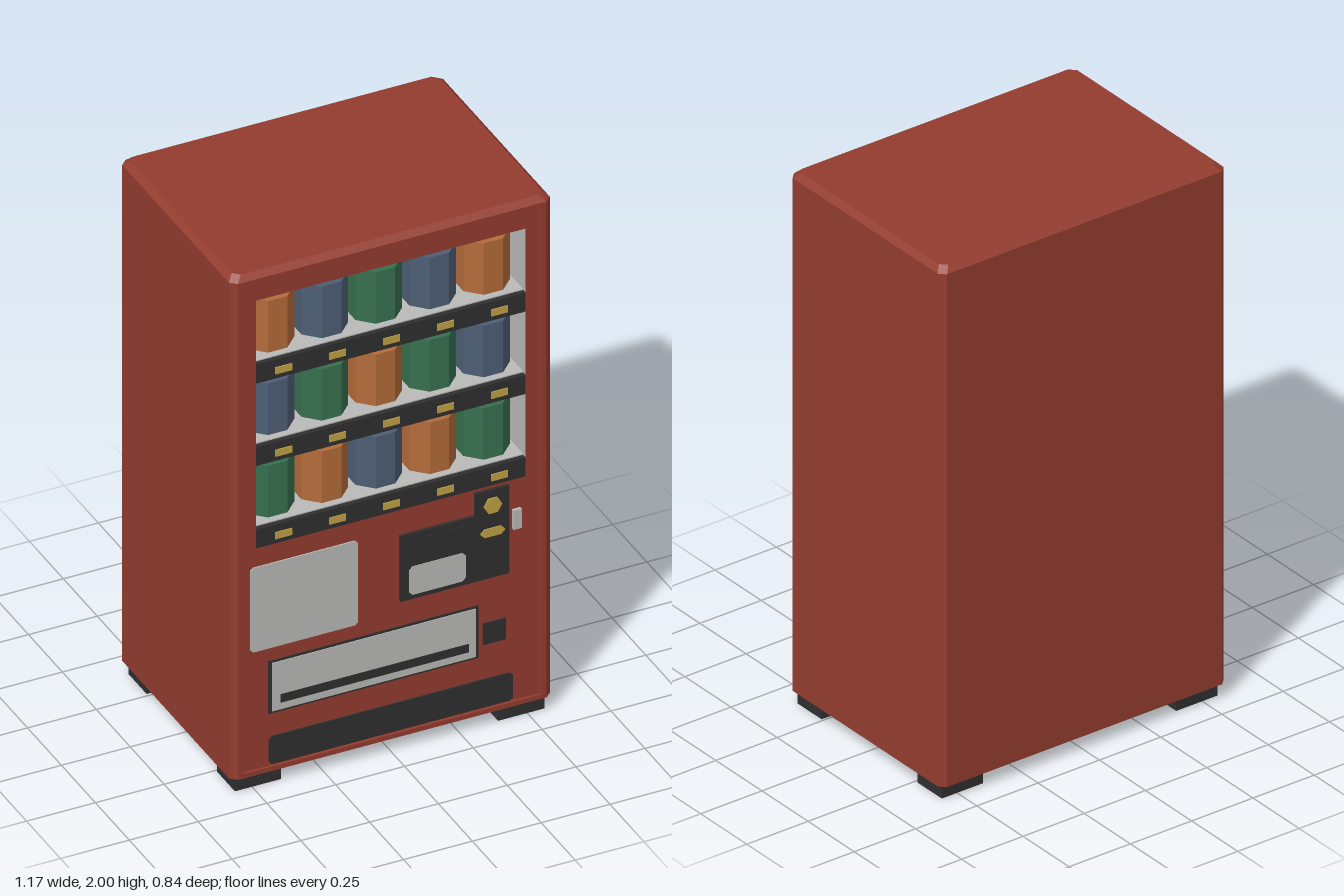
import * as THREE from 'three';

const mat = (name, color, side = THREE.FrontSide) =>
  Object.assign(new THREE.MeshStandardMaterial({ color, side }), { name });

export function createModel() {
  const red = mat('cabinetRed', 0x943c2f, THREE.DoubleSide);
  const dark = mat('charcoal', 0x2f2f2f);
  const grey = mat('lightGrey', 0xb9b9b7);
  const gold = mat('gold', 0xc0a045);
  const orange = mat('orange', 0xb46b39);
  const blue = mat('slateBlue', 0x4e5e75);
  const green = mat('green', 0x36704f);

  const model = new THREE.Group();
  model.name = 'vendingMachine';
  const add = (name, geometry, material, x = 0, y = 0, z = 0) => {
    const mesh = new THREE.Mesh(geometry, material);
    mesh.name = name;
    mesh.position.set(x, y, z);
    model.add(mesh);
    return mesh;
  };
  // Box given by its limits
  const box = (name, m, x0, x1, y0, y1, z0, z1) =>
    add(name, new THREE.BoxGeometry(x1 - x0, y1 - y0, z1 - z0), m,
      (x0 + x1) / 2, (y0 + y1) / 2, (z0 + z1) / 2);
  // Rectangle outline with optionally cut corners
  const rect = (x0, x1, y0, y1, c = 0, Type = THREE.Shape) => {
    const p = c
      ? [[x0 + c, y0], [x1 - c, y0], [x1, y0 + c], [x1, y1 - c],
        [x1 - c, y1], [x0 + c, y1], [x0, y1 - c], [x0, y0 + c]]
      : [[x0, y0], [x1, y0], [x1, y1], [x0, y1]];
    return new Type(p.map(([x, y]) => new THREE.Vector2(x, y)));
  };
  const plate = (name, m, shape, z0, z1) =>
    add(name, new THREE.ExtrudeGeometry(shape, { depth: z1 - z0, bevelEnabled: false }), m, 0, 0, z0);

  // Cabinet shell: chamfered footprint, chamfered top, open front
  const W = 0.583, ZF = 0.41, ZB = -0.42, C = 0.022, Y0 = 0.055, Y1 = 1.98;
  const ring = (y, inset) => {
    const x = W - inset, f = ZF - inset, b = ZB + inset;
    return [[x - C, f], [x, f - C], [x, b + C], [x - C, b],
      [C - x, b], [-x, b + C], [-x, f - C], [C - x, f]].map(([px, pz]) => [px, y, pz]);
  };
  const base = ring(Y0, 0), shoulder = ring(Y1, 0), top = ring(2, 0.02);
  const pos = [];
  const quad = (a, b, c, d) => pos.push(...a, ...b, ...c, ...a, ...c, ...d);
  for (let i = 0; i < 8; i++) {
    const j = (i + 1) % 8;
    if (i < 7) quad(base[i], base[j], shoulder[j], shoulder[i]);
    quad(shoulder[i], shoulder[j], top[j], top[i]);
    if (i > 0 && i < 7) {
      pos.push(...top[0], ...top[i], ...top[j]);
      pos.push(...base[0], ...base[j], ...base[i]);
    }
  }
  const shell = new THREE.BufferGeometry();
  shell.setAttribute('position', new THREE.Float32BufferAttribute(pos, 3));
  shell.computeVertexNormals();
  add('cabinetShell', shell, red);

  // Front rim around the slightly recessed door
  const rim = rect(C - W, W - C, Y0, Y1);
  rim.holes.push(rect(-0.54, 0.54, 0.072, 1.96, 0, THREE.Path));
  plate('frontRim', red, rim, 0.399, ZF);

  const L = -0.49, R = 0.488, B = 0.93, T = 1.89, D = 0.4, BACK = 0.17;
  const door = rect(-0.54, 0.54, 0.072, 1.96);
  door.holes.push(rect(L, R, B, T, 0, THREE.Path));
  add('door', new THREE.ShapeGeometry(door), red, 0, 0, D);

  // Display compartment
  box('displayBack', dark, L, R, B, T, BACK - 0.01, BACK);
  box('displayLeftWall', grey, R, R + 0.01, B, T, BACK, D - 0.002);
  box('displayRightWall', grey, L - 0.01, L, B, T, BACK, D - 0.002);
  box('displayCeiling', grey, L, R, T, T + 0.01, BACK, D - 0.002);

  // Shelves with octagonal goods and price tags
  const rows = [
    [orange, blue, green, blue, orange],
    [blue, green, orange, green, blue],
    [green, orange, blue, orange, green],
  ];
  const canGeo = new THREE.CylinderGeometry(0.092, 0.092, 0.2, 8, 1, false, Math.PI / 8).toNonIndexed();
  canGeo.computeVertexNormals();
  const tagGeo = new THREE.BoxGeometry(0.06, 0.026, 0.006);
  rows.forEach((row, r) => {
    const y = 1.647 - r * 0.32;
    box('shelf', grey, L, R, y - 0.02, y, BACK, 0.385);
    box('shelfLip', dark, L, R, y - 0.077, y - 0.004, 0.38, 0.403);
    row.forEach((m, i) => {
      const x = (i - 2) * 0.196;
      add('can', canGeo, m, x, y + 0.1, 0.275);
      add('priceTag', tagGeo, gold, x, y - 0.046, 0.404);
    });
  });

  // Notice plate
  plate('noticePlate', grey, rect(-0.512, -0.122, 0.53, 0.857, 0.01), D, 0.405);

  // Payment panel with stepped outline
  const panel = new THREE.Shape([[0.03, 0.578], [0.425, 0.578], [0.425, 0.918],
    [0.302, 0.918], [0.302, 0.832], [0.03, 0.832]].map(([x, y]) => new THREE.Vector2(x, y)));
  plate('paymentPanel', dark, panel, D, 0.412);
  box('billSlot', dark, 0.057, 0.265, 0.74, 0.808, 0.41, 0.415);
  plate('paymentScreen', grey, rect(0.06, 0.265, 0.595, 0.705, 0.012), 0.41, 0.414);
  const knob = add('coinButton', new THREE.CylinderGeometry(0.033, 0.033, 0.008, 6, 1, false, Math.PI / 6),
    gold, 0.363, 0.86, 0.414);
  knob.rotation.x = Math.PI / 2;
  plate('coinSlot', gold, rect(0.32, 0.406, 0.741, 0.773, 0.013), 0.41, 0.416);
  box('lockHandle', grey, 0.44, 0.47, 0.74, 0.815, D, 0.412);

  // Delivery hatch, coin return and lower grille
  box('hatchFrame', dark, -0.446, 0.316, 0.275, 0.478, D, 0.404);
  box('hatchFlap', grey, -0.435, 0.305, 0.283, 0.47, D, 0.407);
  box('hatchSlot', dark, -0.405, 0.28, 0.31, 0.342, D, 0.409);
  box('coinReturn', dark, 0.333, 0.415, 0.32, 0.402, D, 0.406);
  plate('lowerGrille', dark, rect(-0.445, 0.44, 0.078, 0.185, 0.01), D, 0.406);

  // Hollow feet
  const footShape = rect(-0.084, 0.084, -0.066, 0.066);
  footShape.holes.push(rect(-0.046, 0.046, -0.034, 0.034, 0, THREE.Path));
  const footGeo = new THREE.ExtrudeGeometry(footShape, { depth: Y0, bevelEnabled: false });
  footGeo.rotateX(-Math.PI / 2);
  for (const sx of [-1, 1])
    for (const z of [-0.327, 0.324]) add('foot', footGeo, dark, sx * 0.478, 0, z);

  return model;
}
